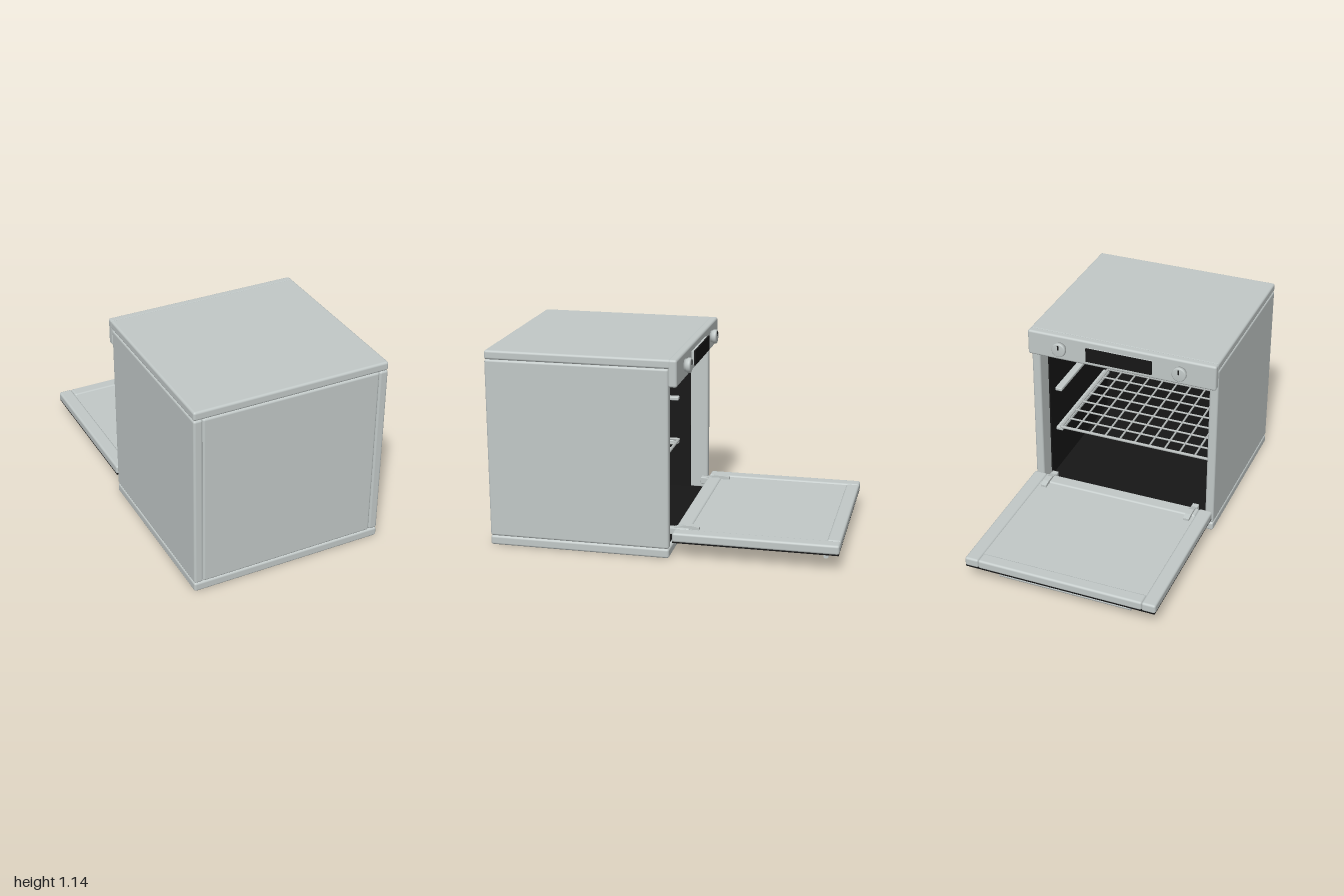
import * as THREE from 'three';
import { RoundedBoxGeometry } from 'three/addons/geometries/RoundedBoxGeometry.js';

const mat = (name, color) => {
  const m = new THREE.MeshStandardMaterial({ color });
  m.name = name;
  return m;
};

export function createModel() {
  const steel = mat('brushed steel', 0xc1c8c7);
  const black = mat('black enamel', 0x161616);
  const wire = mat('rack wire', 0xb4b9b8);

  const model = new THREE.Group();
  model.name = 'oven';

  const group = (name) => {
    const g = new THREE.Group();
    g.name = name;
    model.add(g);
    return g;
  };
  const add = (parent, name, geometry, material, x = 0, y = 0, z = 0) => {
    const m = new THREE.Mesh(geometry, material);
    m.name = name;
    m.position.set(x, y, z);
    parent.add(m);
    return m;
  };
  // Box given by its limits on each axis; r rounds the edges
  const box = (parent, name, material, [x0, x1], [y0, y1], [z0, z1], r = 0) => {
    const s = [x1 - x0, y1 - y0, z1 - z0];
    const g = r ? new RoundedBoxGeometry(...s, 3, r) : new THREE.BoxGeometry(...s);
    return add(parent, name, g, material, (x0 + x1) / 2, (y0 + y1) / 2, (z0 + z1) / 2);
  };
  // Same box on both sides of the model
  const pair = (parent, name, material, [x0, x1], y, z, r = 0) => {
    box(parent, name + 'Left', material, [x0, x1], y, z, r);
    box(parent, name + 'Right', material, [-x1, -x0], y, z, r);
  };
  const rod = (parent, name, material, axis, length, radius, x, y, z) => {
    const m = add(parent, name, new THREE.CylinderGeometry(radius, radius, length, 12), material, x, y, z);
    if (axis === 'x') m.rotation.z = Math.PI / 2;
    if (axis === 'z') m.rotation.x = Math.PI / 2;
    return m;
  };

  // Casing panels
  const casing = group('casing');
  box(casing, 'bottomPanel', steel, [-0.572, 0.572], [0, 0.055], [-0.048, 1], 0.013);
  box(casing, 'topPanel', steel, [-0.572, 0.572], [1.093, 1.145], [-0.06, 1], 0.013);
  pair(casing, 'sidePanel', steel, [0.52, 0.572], [0.055, 1.093], [-0.048, 1], 0.013);
  box(casing, 'rearPanel', steel, [-0.52, 0.52], [0.055, 1.093], [0.948, 1], 0.013);

  // Dark lining of the cavity, set back behind a steel reveal
  const lining = group('cavityLining');
  box(lining, 'liningFloor', black, [-0.52, 0.52], [0.052, 0.062], [-0.03, 0.95]);
  box(lining, 'liningCeiling', black, [-0.52, 0.52], [1.085, 1.097], [0.33, 0.95]);
  box(lining, 'liningBack', black, [-0.52, 0.52], [0.06, 1.09], [0.94, 0.952]);
  pair(lining, 'liningSide', black, [0.512, 0.522], [0.06, 1.09], [0.06, 0.95]);

  // Shelf runners on the cavity walls
  const runners = group('shelfRunners');
  for (const y of [0.36, 0.64]) {
    pair(runners, 'runner', steel, [0.47, 0.515], [y - 0.014, y + 0.008], [0.13, 0.88], 0.006);
  }

  // Wire rack
  const rack = group('wireRack');
  const rackY = 0.375;
  const bars = 10, crossBars = 7;
  for (let i = 0; i <= bars; i++) {
    const edge = i === 0 || i === bars;
    rod(rack, 'rackBar', wire, 'z', 0.75, edge ? 0.009 : 0.006, -0.48 + (0.96 * i) / bars, rackY, 0.505);
  }
  for (let i = 0; i <= crossBars; i++) {
    const edge = i === 0 || i === crossBars;
    rod(rack, 'rackCrossBar', wire, 'x', 0.96, edge ? 0.009 : 0.006, 0, rackY, 0.13 + (0.75 * i) / crossBars);
  }

  // Control panel with display and two knobs
  const controls = group('controlPanel');
  box(controls, 'controlFascia', steel, [-0.572, 0.572], [0.99, 1.145], [-0.095, -0.045], 0.013);
  box(controls, 'displayBacking', steel, [-0.195, 0.195], [1.033, 1.107], [-0.111, -0.09]);
  box(controls, 'displayGlass', black, [-0.2, 0.2], [1.028, 1.112], [-0.12, -0.111]);
  const knobProfile = [[0, 0], [0.035, 0], [0.036, 0.014], [0.042, 0.018], [0.0425, 0.03], [0.041, 0.036], [0.036, 0.039], [0, 0.04]]
    .map(([r, h]) => new THREE.Vector2(r, h));
  const knobGeometry = new THREE.LatheGeometry(knobProfile, 32);
  for (const x of [-0.365, 0.365]) {
    const knob = new THREE.Group();
    knob.name = 'knob';
    knob.position.set(x, 1.07, -0.094);
    controls.add(knob);
    add(knob, 'knobBody', knobGeometry, steel).rotation.x = -Math.PI / 2;
    box(knob, 'knobMarker', black, [-0.004, 0.004], [0.004, 0.032], [-0.042, -0.038]);
  }

  // Door, folded down flat
  const door = group('door');
  const frameY = [0.1, 0.155];
  pair(door, 'doorSideRail', steel, [0.49, 0.572], frameY, [-1, -0.065], 0.013);
  box(door, 'doorUpperRail', steel, [-0.492, 0.492], frameY, [-1, -0.922], 0.013);
  box(door, 'doorLowerRail', steel, [-0.492, 0.492], frameY, [-0.15, -0.065], 0.013);
  box(door, 'doorInnerPanel', steel, [-0.495, 0.495], [0.105, 0.147], [-0.93, -0.145]);
  box(door, 'doorSeal', black, [-0.568, 0.568], [0.096, 0.106], [-0.997, -0.068]);
  box(door, 'doorOuterPanel', steel, [-0.547, 0.547], [0.093, 0.099], [-0.977, -0.088], 0.0025);

  // Hinges
  const hinges = group('hinges');
  const armShape = new THREE.Shape();
  [[0.05, 0.12], [0.2, 0.14], [0.2, 0.16], [0.16, 0.168], [0.11, 0.168], [0.04, 0.145], [0.04, 0.11]]
    .forEach(([z, y], i) => (i ? armShape.lineTo(z, y) : armShape.moveTo(z, y)));
  const armGeometry = new THREE.ExtrudeGeometry(armShape, { depth: 0.035, bevelEnabled: false });
  for (const x of [0.4375, -0.4725]) {
    add(hinges, 'hingeArm', armGeometry, steel, x).rotation.y = Math.PI / 2;
  }
  pair(hinges, 'hingeMount', steel, [0.435, 0.475], [0.11, 0.15], [-0.07, -0.02], 0.005);

  // Door handle
  const handle = group('handle');
  rod(handle, 'handleBar', steel, 'x', 0.8, 0.015, 0, 0.024, -0.91);
  for (const x of [-0.385, 0.385]) rod(handle, 'handlePost', steel, 'y', 0.075, 0.015, x, 0.06, -0.91);

  return model;
}
